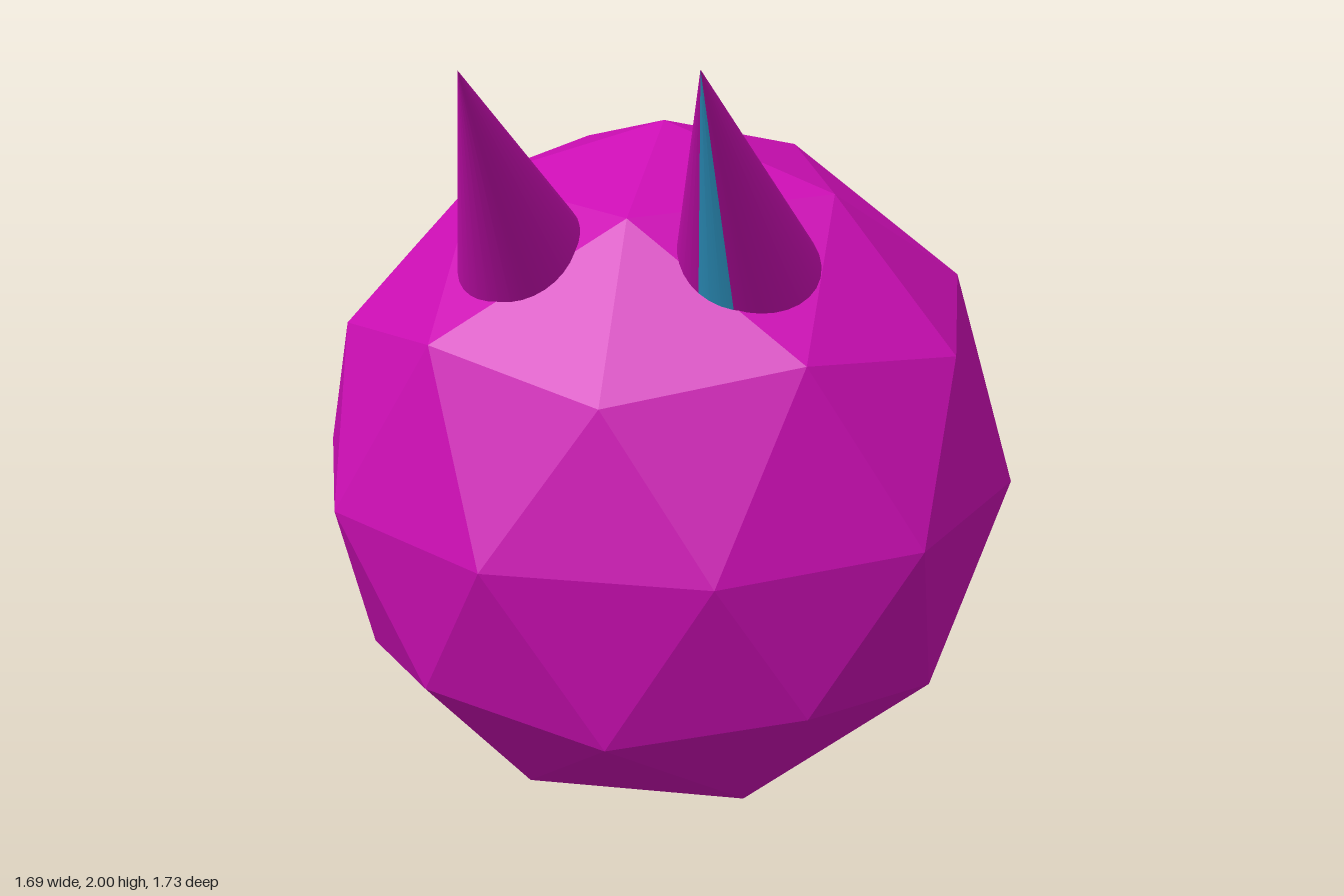
import * as THREE from 'three';

const magenta = new THREE.MeshStandardMaterial({ color: 0xcc0eb4 });
magenta.name = 'magenta';
const blue = new THREE.MeshStandardMaterial({ color: 0x35aade });
blue.name = 'blue';

const SIDES = 32;
const STEP = (Math.PI * 2) / SIDES;

// Sector of a smooth cone with its tip at the origin, opening downwards
function coneSector(name, material, firstSide, sides) {
  const length = 0.9, radius = 0.185;
  const geometry = new THREE.ConeGeometry(radius, length, sides, 1, true, firstSide * STEP, sides * STEP);
  geometry.translate(0, -length / 2, 0);
  const mesh = new THREE.Mesh(geometry, material);
  mesh.name = name;
  return mesh;
}

// Horn leaning forward by 45 degrees, placed by its tip
function horn(name, tip, tilt, parts) {
  const group = new THREE.Group();
  group.name = name;
  group.add(...parts);
  group.position.set(...tip);
  group.rotation.set(Math.PI / 4, 0, tilt);
  return group;
}

export function createModel() {
  const model = new THREE.Group();
  model.name = 'hornedBall';

  // Faceted body, turned so that one corner points straight up
  const ball = new THREE.IcosahedronGeometry(0.845, 1);
  ball.rotateX(-Math.atan((1 + Math.sqrt(5)) / 2));
  ball.computeVertexNormals(); // unshared corners, so flat facets
  const body = new THREE.Mesh(ball, magenta);
  body.name = 'body';
  body.position.set(0, 0.848, -0.065);
  model.add(body);

  // Left horn carries a blue strip on its inner underside
  model.add(horn('leftHorn', [0.247, 2.0, 0.865], 0.01, [
    coneSector('leftHornShell', magenta, 0, SIDES - 3),
    coneSector('leftHornStripe', blue, -3, 3),
  ]));
  model.add(horn('rightHorn', [-0.243, 1.98, 0.865], 0, [
    coneSector('rightHornShell', magenta, 0, SIDES),
  ]));

  return model;
}
